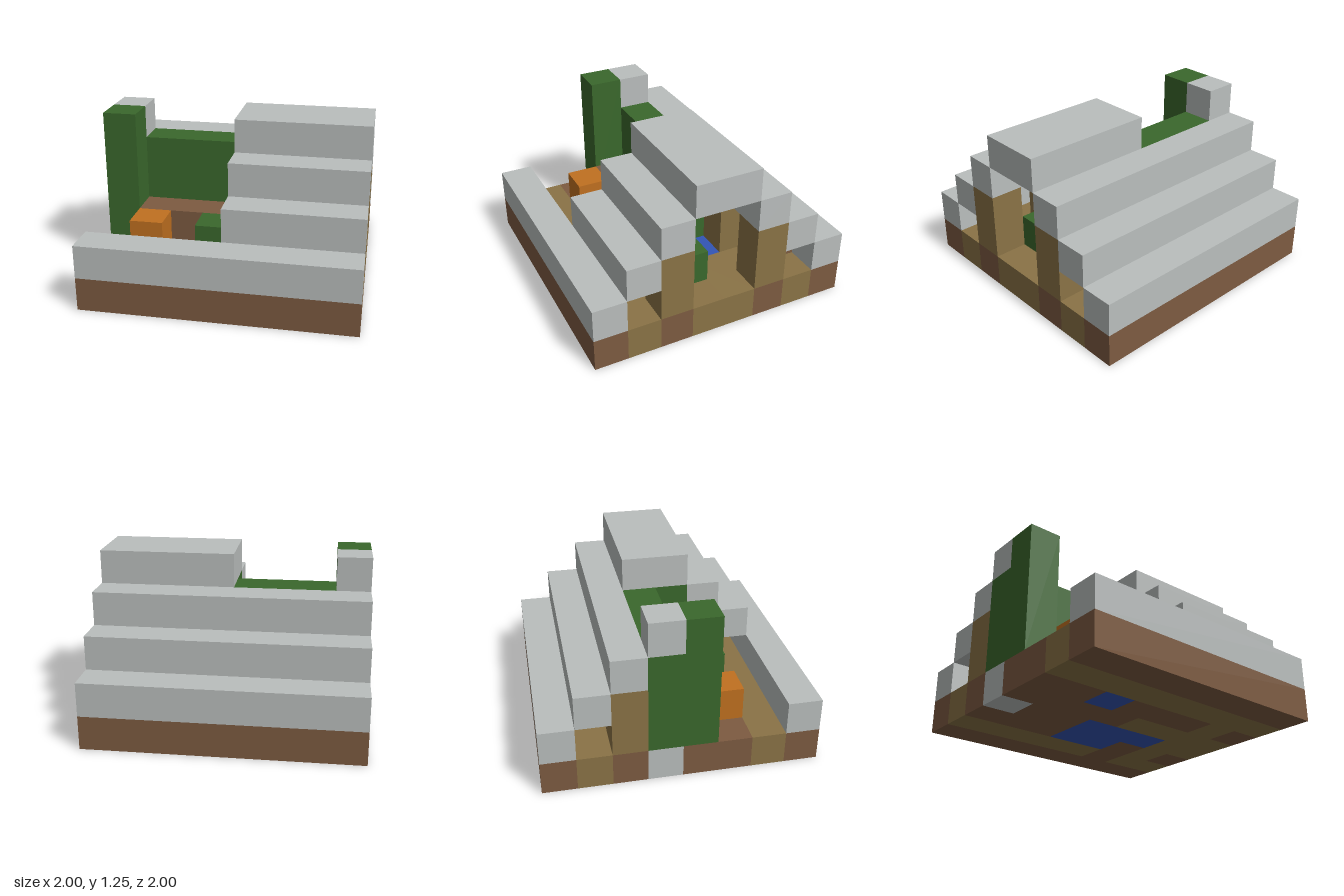
import * as THREE from 'three';

const mat = (name, color) => {
  const m = new THREE.MeshStandardMaterial({ color });
  m.name = name;
  return m;
};

export function createModel() {
  const group = new THREE.Group();
  const stone = mat('stone', 0xbabebd);
  const leaf = mat('leaf green', 0x3a682c);
  const earth = mat('earth brown', 0x7d5b41);
  const plank = mat('plank tan', 0x8a7346);
  const orange = mat('orange', 0xc07020);
  const water = mat('water blue', 0x3355b5);
  const C = 0.25; // cell size of the 8 x 5 x 8 block grid

  // Block covering cells x0..x1, y0..y1, z0..z1 (inclusive)
  const block = (name, material, [x0, x1], [y0, y1], [z0, z1]) => {
    const geo = new THREE.BoxGeometry((x1 - x0 + 1) * C, (y1 - y0 + 1) * C, (z1 - z0 + 1) * C);
    const mesh = new THREE.Mesh(geo, material);
    mesh.name = name;
    mesh.position.set(((x0 + x1 + 1) / 2 - 4) * C, ((y0 + y1 + 1) / 2) * C, ((z0 + z1 + 1) / 2 - 4) * C);
    group.add(mesh);
  };

  // Ground layer, one string per row from back to front
  const kinds = { e: earth, p: plank, w: water, s: stone };
  const rows = ['eeeeeeee', 'pppppepp', 'eeewwepe', 'seewwwpp', 'eeeepppp', 'eeweeepe', 'pppppppp', 'eeeeeeee'];
  rows.forEach((row, z) => {
    for (let x = 0; x < 8;) {
      let end = x;
      while (row[end + 1] === row[x]) end++;
      block('ground', kinds[row[x]], [x, end], [0, 0], [z, z]);
      x = end + 1;
    }
  });

  // Stepped roof: full length behind, half length in front
  for (let s = 0; s < 3; s++) {
    block('backRoofStep', stone, [0, 7], [s + 1, s + 1], [s, s]);
    block('frontRoofStep', stone, [s === 0 ? 0 : 4, 7], [s + 1, s + 1], [7 - s, 7 - s]);
  }
  block('roofRidge', stone, [4, 7], [4, 4], [3, 4]);
  block('ridgeRemnant', stone, [0, 0], [4, 4], [3, 3]);

  // Timber walls with a doorway near the right end
  block('backWall', plank, [0, 5], [1, 2], [2, 2]);
  block('frontWall', plank, [4, 5], [1, 2], [5, 5]);
  for (const z of [2, 5]) block('cornerPost', plank, [7, 7], [1, 2], [z, z]);

  // Overgrowth
  block('leafColumn', leaf, [0, 0], [1, 4], [4, 4]);
  block('leafColumnBack', leaf, [0, 0], [1, 3], [3, 3]);
  block('leafHedge', leaf, [1, 3], [1, 3], [3, 3]);
  block('leafPartition', leaf, [4, 4], [1, 3], [3, 4]);
  block('indoorBush', leaf, [6, 6], [1, 1], [4, 4]);
  block('gardenBush', leaf, [3, 3], [1, 1], [5, 5]);

  // Garden and loose blocks
  block('earthBed', earth, [1, 3], [1, 1], [4, 4]);
  block('earthBlock', earth, [6, 6], [1, 1], [1, 1]);
  block('orangeBlock', orange, [1, 1], [1, 1], [5, 5]);

  return group;
}
